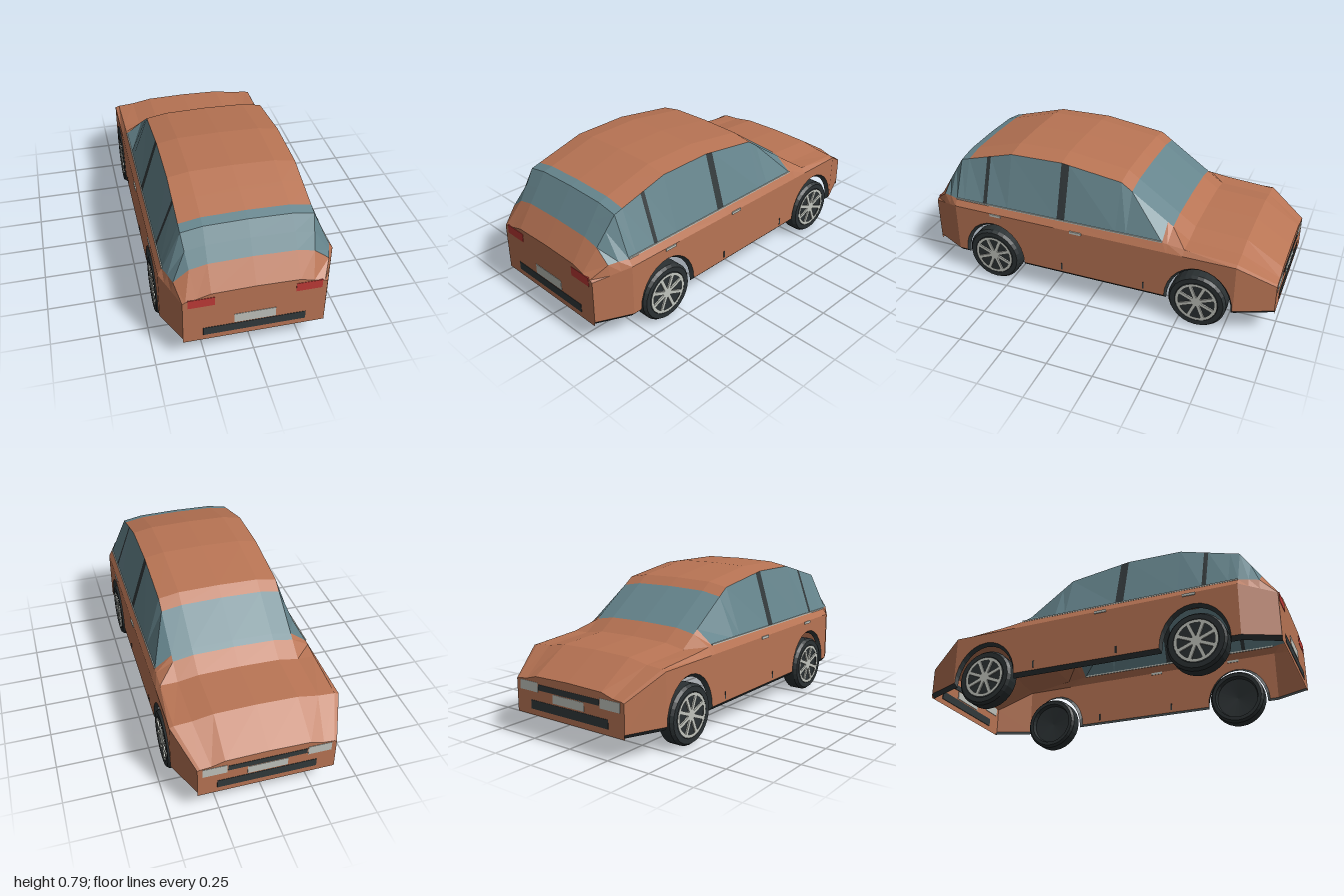
import * as THREE from 'three';

const flat = (color, name) => {
  const m = new THREE.MeshStandardMaterial({ color, flatShading: true, side: THREE.DoubleSide });
  m.name = name;
  return m;
};

// Linear interpolation through [z, value] keys listed from the tail (+z) to the nose (-z)
function along(keys, z) {
  for (let i = 1; i < keys.length; i++) {
    const [z0, a] = keys[i - 1], [z1, b] = keys[i];
    if (z >= z1) return a + (b - a) * (z0 - z) / (z0 - z1);
  }
  return keys[keys.length - 1][1];
}

// Body curves
const WIDTH = [[1, 0.36], [0.82, 0.445], [-0.8, 0.445], [-1, 0.36]];
const SIDE_TOP = [[1, 0.385], [0.82, 0.43], [-0.8, 0.42], [-1, 0.3]];
const WAIST_X = [[1, 0.345], [0.92, 0.387], [0.82, 0.422], [-0.8, 0.422], [-1, 0.345]];
const WAIST_Y = [[1, 0.395], [0.92, 0.46], [0.87, 0.465], [-0.4, 0.465], [-0.52, 0.45], [-0.8, 0.428], [-1, 0.305]];
const EDGE_X = [[1, 0.29], [0.92, 0.31], [0.82, 0.33], [-0.8, 0.33], [-1, 0.29]];
const CROWN = [[1, 0.43], [0.82, 0.695], [0.5, 0.785], [0.2, 0.79], [-0.14, 0.742], [-0.52, 0.477], [-0.8, 0.46], [-1, 0.335]];
const STATIONS = [1, 0.92, 0.87, 0.82, 0.77, 0.653, 0.63, 0.5, 0.2, 0.155, -0.14, -0.2, -0.4, -0.43, -0.52, -0.8, -1];

// Half cross-section from the top of the side panel to the roof centre
function section(z, s) {
  const top = along(CROWN, z);
  return [
    [s * along(WIDTH, z), along(SIDE_TOP, z), z],
    [s * along(WAIST_X, z), along(WAIST_Y, z), z],
    [s * along(EDGE_X, z), top - 0.025, z],
    [s * 0.22, top - 0.005, z],
    [0, top, z],
  ];
}

// Mesh from a list of four-cornered faces
function quadMesh(name, mat, quads) {
  const pos = quads.flatMap(([a, b, c, d]) => [a, b, c, a, c, d].flat());
  const g = new THREE.BufferGeometry();
  g.setAttribute('position', new THREE.Float32BufferAttribute(pos, 3));
  g.computeVertexNormals();
  const mesh = new THREE.Mesh(g, mat);
  mesh.name = name;
  return mesh;
}

// Quads between two rows of points, wound outward on either side of the car
function strip(a, b, s) {
  const out = [];
  for (let i = 1; i < a.length; i++) {
    const q = [a[i - 1], b[i - 1], b[i], a[i]];
    out.push(s > 0 ? q : q.reverse());
  }
  return out;
}

// Lower edge of a side as [z, y], running over both wheel arches
function lowerEdge(y, rx, ry) {
  const pts = [[1, y], [0.82, y]];
  for (const c of [0.587, -0.61]) {
    for (let i = 0; i <= 14; i++) {
      const t = Math.PI * i / 14;
      pts.push([c + rx * Math.cos(t), y + ry * Math.sin(t)]);
    }
  }
  pts.push([-0.8, y], [-1, y]);
  return pts;
}

export function createModel() {
  const car = new THREE.Group();
  car.name = 'car';
  const paint = flat(0xb87454, 'body paint');
  const glass = flat(0x66858d, 'glass');
  const dark = flat(0x32393b, 'dark trim');
  const rubber = flat(0x2b3133, 'rubber');
  const silver = flat(0xc0c3bc, 'silver');
  const red = flat(0xbd3a36, 'red lamp');

  const box = (name, mat, w, h, d, x, y, z) => {
    const m = new THREE.Mesh(new THREE.BoxGeometry(w, h, d), mat);
    m.position.set(x, y, z);
    m.name = name;
    car.add(m);
    return m;
  };

  // Upper shell: shoulders, bonnet, roof, windows and pillars
  const shell = [], panes = [], pillars = [];
  for (const s of [1, -1]) {
    for (let i = 1; i < STATIONS.length; i++) {
      const z0 = STATIONS[i - 1], z1 = STATIONS[i], mid = (z0 + z1) / 2;
      const quads = strip(section(z0, s), section(z1, s), -s);
      const isPillar = (mid > 0.63 && mid < 0.653) || (mid > 0.155 && mid < 0.2);
      const sideGlass = mid > -0.4 && mid < 0.92;
      const endGlass = (mid > 0.77 && mid < 0.92) || (mid > -0.43 && mid < -0.2);
      quads.forEach((q, j) => {
        if (j === 1 && sideGlass) (isPillar ? pillars : panes).push(q);
        else if (j > 1 && endGlass) panes.push(q);
        else shell.push(q);
      });
    }
  }
  car.add(quadMesh('upperBody', paint, shell), quadMesh('windows', glass, panes), quadMesh('windowPillars', dark, pillars));

  // Side panels with arches, and the dark bevelled lip beneath them
  const outer = lowerEdge(0.15, 0.185, 0.215), inner = lowerEdge(0.128, 0.176, 0.22);
  for (const s of [1, -1]) {
    const top = outer.map(([z]) => [s * along(WIDTH, z), along(SIDE_TOP, z), z]);
    const low = outer.map(([z, y]) => [s * along(WIDTH, z), y, z]);
    const lip = inner.map(([z, y]) => [s * (along(WIDTH, z) - 0.02), y, z]);
    car.add(quadMesh('sidePanel', paint, strip(top, low, -s)), quadMesh('sillAndArchLip', dark, strip(low, lip, -s)));
  }

  // Flat tail and nose panels
  for (const z of [1, -1]) {
    const quads = [];
    for (const s of [1, -1]) {
      const top = section(z, s);
      const low = top.map(([x]) => [x, 0.126, z]);
      quads.push(...strip(top, low, s * z));
    }
    car.add(quadMesh(z > 0 ? 'tailPanel' : 'nosePanel', paint, quads));
  }

  // Lamps, plates, grille and bumper inserts
  const T = 0.006, Z = 0.999;
  for (const s of [1, -1]) {
    box('tailLamp', red, 0.133, 0.05, T, s * 0.268, 0.377, Z);
    box('headlamp', silver, 0.125, 0.05, T, s * 0.272, 0.275, -Z);
    box('numberPlate', silver, 0.21, s > 0 ? 0.055 : 0.045, T, 0, s > 0 ? 0.238 : 0.235, s * Z);
    box('bumperInsert', dark, 0.52, 0.047, T, 0, 0.181, s * Z);
  }
  box('grille', dark, 0.41, 0.03, T, 0, 0.277, -Z);

  // Door handles, seams and waist trim
  for (const s of [1, -1]) {
    for (const z of [0.567, 0.08]) box('doorHandle', silver, 0.008, 0.014, 0.068, s * 0.446, 0.421, z);
    for (const z of [0.168, -0.308]) box('doorSeam', dark, 0.006, 0.04, 0.008, s * 0.444, 0.185, z);
    box('waistTrim', silver, 0.006, 0.008, 1.22, s * 0.422, 0.467, 0.21);
  }

  // Wheels: dished tyre, rim ring, spokes and hub
  const tyreGeo = new THREE.LatheGeometry([
    [0, -0.01], [0.118, -0.02], [0.125, -0.048], [0.145, -0.048], [0.157, -0.032],
    [0.157, 0.032], [0.145, 0.048], [0.118, 0.048], [0.114, 0.036], [0, 0.036],
  ].map(([r, y]) => new THREE.Vector2(r, y)), 28);
  const ringGeo = new THREE.RingGeometry(0.098, 0.115, 28).rotateX(-Math.PI / 2);
  const spokeGeo = new THREE.BoxGeometry(0.08, 0.008, 0.018).translate(0.062, 0.044, 0);
  const hubGeo = new THREE.CylinderGeometry(0.028, 0.028, 0.012, 16);
  for (const s of [1, -1]) {
    for (const z of [0.595, -0.605]) {
      const wheel = new THREE.Group();
      wheel.name = 'wheel';
      const add = (name, geo, mat, y = 0, turn = 0) => {
        const m = new THREE.Mesh(geo, mat);
        m.name = name;
        m.position.y = y;
        m.rotation.y = turn;
        wheel.add(m);
      };
      add('tyre', tyreGeo, rubber);
      add('rimRing', ringGeo, silver, 0.049);
      add('hub', hubGeo, silver, 0.042);
      for (let i = 0; i < 8; i++) add('spoke', spokeGeo, silver, 0, (i + 0.5) * Math.PI / 4);
      wheel.position.set(s * 0.4, 0.157, z);
      wheel.rotation.z = -s * Math.PI / 2;
      car.add(wheel);
    }
  }
  return car;
}
